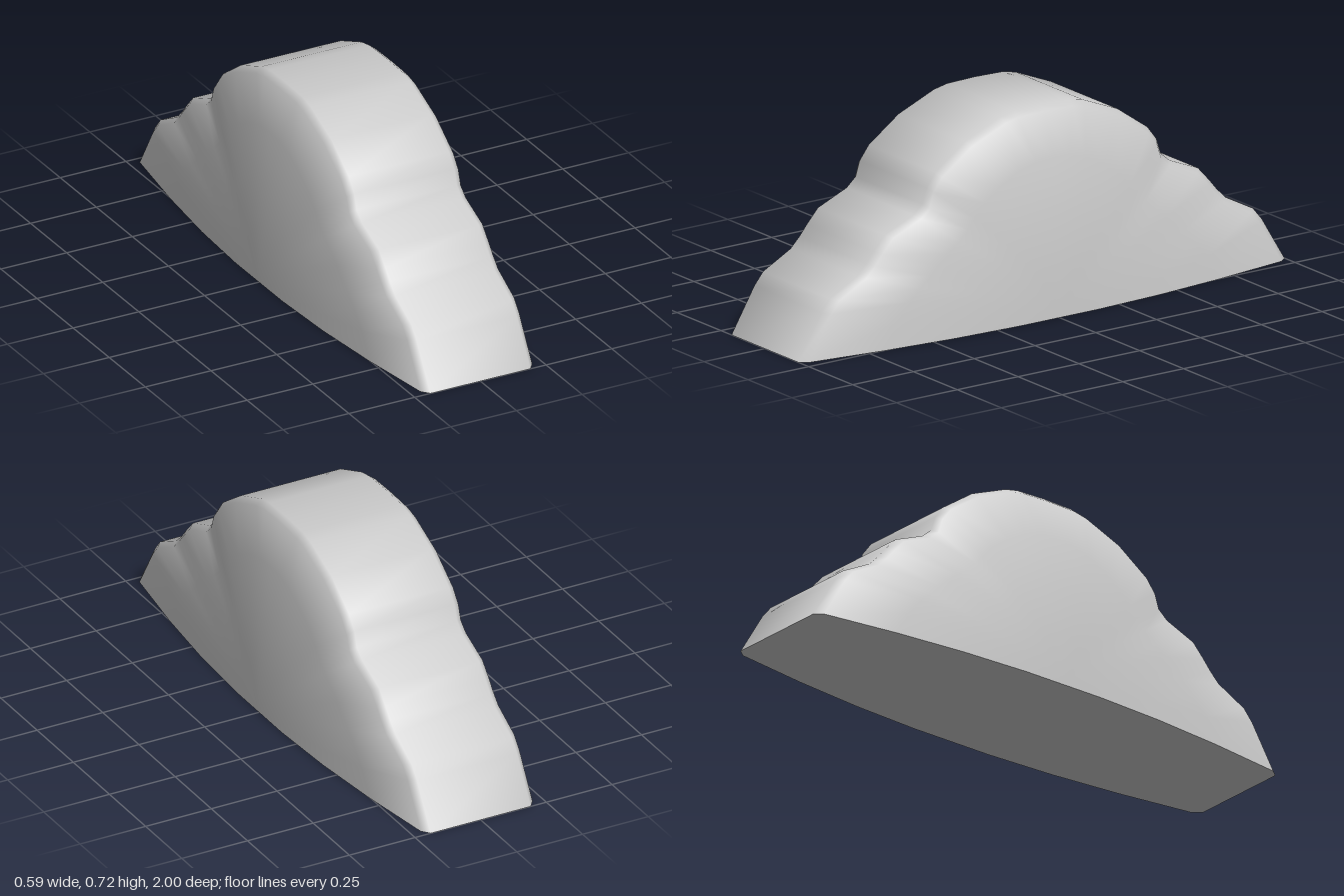
import * as THREE from 'three';
import { toCreasedNormals } from 'three/addons/utils/BufferGeometryUtils.js';

// Front half of the stepped arch outline, as [z, y], from the toe to the crown
const HALF = [
  [1, 0], [0.906, 0.155], [0.87, 0.198], [0.757, 0.257], [0.72, 0.294], [0.69, 0.33],
  [0.644, 0.38], [0.527, 0.428], [0.49, 0.46], [0.473, 0.513], [0.436, 0.561],
  [0.313, 0.647], [0.168, 0.706], [0.115, 0.717], [0, 0.72],
];
const OUTLINE = [...HALF, ...HALF.slice(0, -1).reverse().map(([z, y]) => [-z, y])];

// Cross-sections from the rim to the bulging cheek: half width, z scale, y scale, smoothing passes
const SECTIONS = [
  [0.19, 1, 1, 0],
  [0.213, 0.972, 0.975, 0],
  [0.253, 0.69, 0.764, 2],
  [0.28, 0.42, 0.514, 4],
  [0.293, 0.16, 0.264, 6],
  [0.293, 0, 0, 0],
];

// Softens the steps while keeping the height and the two toes
function soften(points, passes) {
  let p = points;
  for (let k = 0; k < passes; k++) {
    p = p.map((q, i) => (i === 0 || i === p.length - 1) ? q
      : [0, 1].map((c) => (p[i - 1][c] + 2 * q[c] + p[i + 1][c]) / 4));
  }
  const top = Math.max(...p.map((q) => q[1]));
  return p.map(([z, y]) => [z, y * 0.72 / top]);
}

function bodyGeometry() {
  const rings = [
    ...SECTIONS.slice().reverse().map(([w, ...rest]) => [-w, ...rest]),
    ...SECTIONS,
  ];
  const n = OUTLINE.length;
  const positions = [];
  const index = [];
  for (const [x, sz, sy, passes] of rings) {
    for (const [z, y] of soften(OUTLINE, passes)) positions.push(x, y * sy, z * sz);
  }
  // Each ring closes on itself, so the last strip forms the flat base
  for (let i = 0; i < rings.length - 1; i++) {
    for (let j = 0; j < n; j++) {
      const k = (j + 1) % n;
      const a = i * n + j, b = i * n + k, c = b + n, d = a + n;
      if (rings[i][1] === 0) index.push(a, d, c);
      else if (rings[i + 1][1] === 0) index.push(a, d, b);
      else index.push(a, d, c, a, c, b);
    }
  }
  const geometry = new THREE.BufferGeometry();
  geometry.setAttribute('position', new THREE.Float32BufferAttribute(positions, 3));
  geometry.setIndex(index);
  return toCreasedNormals(geometry, 1.1);
}

export function createModel() {
  const group = new THREE.Group();
  group.name = 'steppedArch';
  const body = new THREE.Mesh(bodyGeometry(), new THREE.MeshStandardMaterial({ color: 0xcccccc }));
  body.name = 'archBody';
  group.add(body);
  return group;
}
